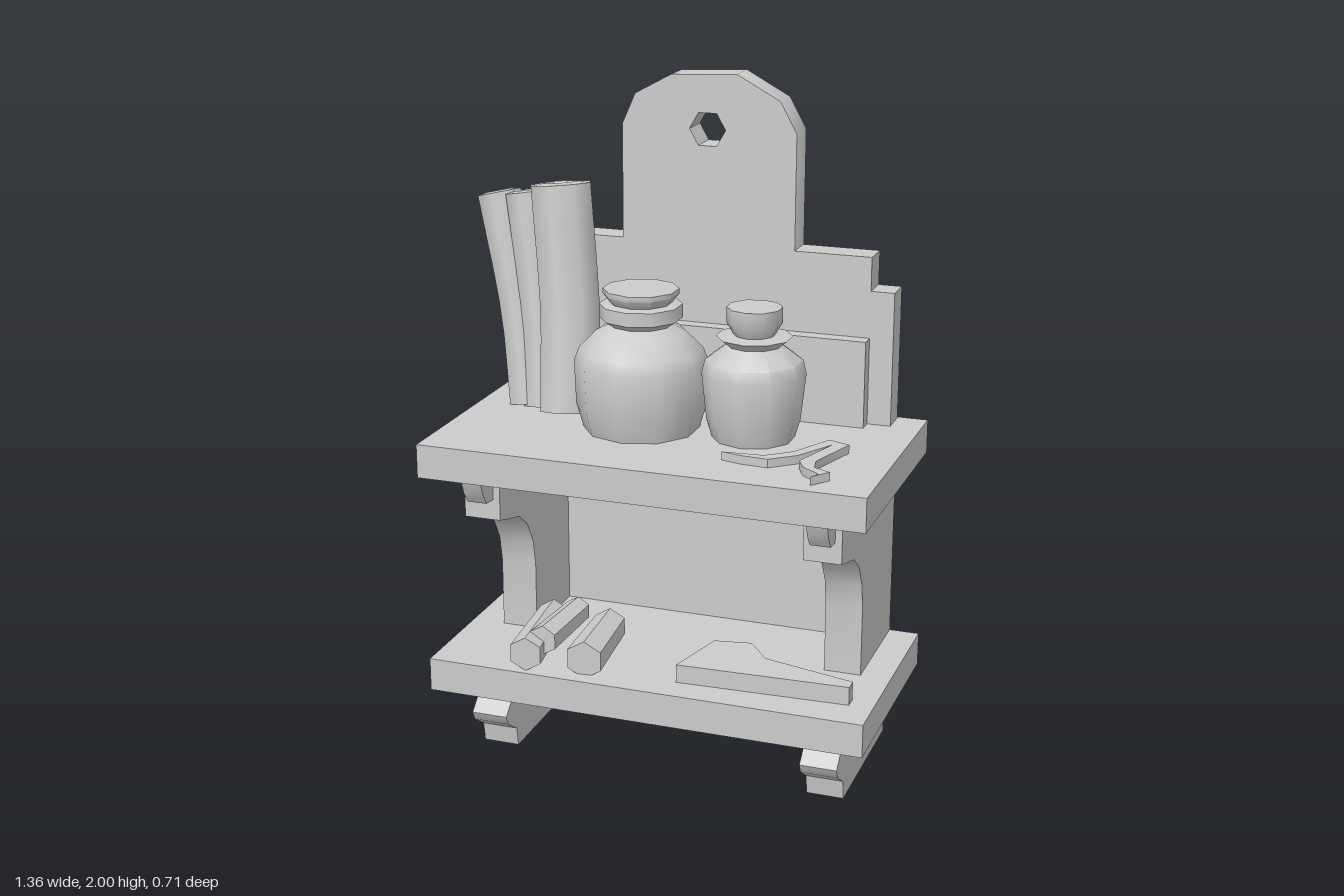
import * as THREE from 'three';
import { toCreasedNormals } from 'three/addons/utils/BufferGeometryUtils.js';

const material = new THREE.MeshStandardMaterial({ color: 0xcccccc, side: THREE.DoubleSide });

export function createModel() {
  const model = new THREE.Group();

  const add = (name, geometry, crease = 0.6) => {
    const mesh = new THREE.Mesh(toCreasedNormals(geometry, crease), material);
    mesh.name = name;
    model.add(mesh);
    return mesh;
  };
  // Box from its limits on each axis
  const box = (name, x0, x1, y0, y1, z0, z1) => add(name,
    new THREE.BoxGeometry(x1 - x0, y1 - y0, z1 - z0)
      .translate((x0 + x1) / 2, (y0 + y1) / 2, (z0 + z1) / 2));
  const outline = (points) => new THREE.Shape(points.map(([a, b]) => new THREE.Vector2(a, b)));
  const extrude = (shape, depth) => new THREE.ExtrudeGeometry(shape, { depth, bevelEnabled: false });
  // Profile in (z, y), as thick as x0..x1
  const sideSlab = (name, points, x0, x1) =>
    add(name, extrude(outline(points), x1 - x0).rotateY(-Math.PI / 2).translate(x1, 0, 0));
  // Plan in (x, z), standing from y0 to y1
  const planSlab = (name, points, y0, y1) =>
    add(name, extrude(outline(points), y1 - y0).rotateX(Math.PI / 2).translate(0, y1, 0));

  // Shelves
  box('upperShelf', -0.64, 0.68, 0.9, 1.0, -0.355, 0.355);
  box('lowerShelf', -0.64, 0.68, 0.22, 0.32, -0.345, 0.32);

  // Arched middle back board with a hanging hole
  const arch = outline([[-0.24, 0.32], [0.29, 0.32], [0.29, 1.84], [0.24, 1.93],
    [0.11, 2.0], [-0.09, 1.99], [-0.2, 1.93], [-0.24, 1.84]]);
  const hole = [];
  for (let i = 0; i < 6; i++) {
    const a = -i * Math.PI / 3;
    hole.push(new THREE.Vector2(0.022 + 0.055 * Math.cos(a), 1.837 + 0.055 * Math.sin(a)));
  }
  arch.holes.push(new THREE.Path(hole));
  add('archedBackBoard', extrude(arch, 0.095).translate(0, 0, -0.355));

  // Stepped boards beside it: x0, x1, top, back
  [[-0.45, -0.24, 1.5, -0.35], [-0.54, -0.45, 1.57, -0.34],
    [0.29, 0.52, 1.5, -0.35], [0.52, 0.59, 1.4, -0.345]].forEach(([x0, x1, top, back]) =>
    box('sideBackBoard', x0, x1, 0.32, top, back, -0.26));
  box('backRail', -0.43, 0.52, 1.0, 1.26, -0.26, -0.215);

  // Side panels, brackets and feet
  const panel = [[-0.34, 0.32], [0.005, 0.32], [0.005, 0.53], [0.02, 0.61], [0.06, 0.68],
    [0.12, 0.725], [0.2, 0.745], [0.255, 0.76], [0.255, 0.9], [-0.34, 0.9]];
  const bracket = [[0.2, 0.82], [0.3, 0.825], [0.325, 0.86], [0.34, 0.9], [0.2, 0.9]];
  const foot = [[-0.3, 0], [0.165, 0], [0.175, 0.06], [0.235, 0.1], [0.25, 0.13],
    [0.21, 0.165], [0.21, 0.22], [-0.3, 0.22]];
  for (const [x0, x1] of [[-0.54, -0.43], [0.48, 0.59]]) {
    sideSlab('sidePanel', panel, x0, x1);
    sideSlab('bracket', bracket, x0 + 0.03, x1 - 0.02);
    sideSlab('foot', foot, x0, x1);
  }

  // Stoppered jars
  const jar = (name, profile, x, z) => add(name, new THREE.LatheGeometry(
    profile.map(([r, y]) => new THREE.Vector2(r, y)), 10).translate(x, 1, z), 0.8);
  jar('largeJar', [[0, 0], [0.17, 0], [0.19, 0.07], [0.195, 0.2], [0.18, 0.24], [0.13, 0.29],
    [0.09, 0.31], [0.12, 0.33], [0.12, 0.37], [0.09, 0.375], [0.11, 0.4], [0.11, 0.415],
    [0, 0.415]], -0.095, -0.02);
  jar('smallJar', [[0, 0], [0.12, 0], [0.135, 0.05], [0.15, 0.19], [0.14, 0.23], [0.08, 0.275],
    [0.11, 0.3], [0.06, 0.305], [0.08, 0.34], [0.08, 0.385], [0, 0.385]], 0.24, -0.04);

  // Leaning rolls with sunken ends: path points and radius
  const roll = (path, radius) => {
    const curve = new THREE.CatmullRomCurve3(path.map((p) => new THREE.Vector3(...p)));
    add('leaningRoll', new THREE.TubeGeometry(curve, 6, radius, 8), 1);
    const top = path[path.length - 1];
    const end = add('rollEnd', new THREE.LatheGeometry([
      new THREE.Vector2(radius, 0), new THREE.Vector2(radius * 0.55, 0.005),
      new THREE.Vector2(radius * 0.3, -0.05), new THREE.Vector2(0, -0.05)], 8));
    end.position.set(...top);
    end.quaternion.setFromUnitVectors(new THREE.Vector3(0, 1, 0), curve.getTangent(1));
  };
  roll([[-0.49, 1.0, -0.13], [-0.53, 1.27, -0.17], [-0.615, 1.62, -0.21]], 0.07);
  roll([[-0.44, 1.0, -0.12], [-0.46, 1.27, -0.16], [-0.52, 1.63, -0.2]], 0.07);
  roll([[-0.35, 1.0, -0.09], [-0.365, 1.3, -0.14], [-0.405, 1.665, -0.18]], 0.095);

  // Small logs on the lower shelf: x, y, radius, front z, back z, turn
  [[-0.36, 0.37, 0.052, 0.3, -0.01, 0.12], [-0.3, 0.4, 0.045, 0.25, 0.0, -0.05],
    [-0.18, 0.365, 0.058, 0.27, 0.0, 0.08]].forEach(([x, y, r, z1, z0, turn]) => {
    const log = add('log', new THREE.CylinderGeometry(r, r * 0.9, z1 - z0, 6).rotateX(Math.PI / 2));
    log.position.set(x, y, (z0 + z1) / 2);
    log.rotation.y = turn;
  });

  // Wedge block on the lower shelf
  planSlab('wedgeBlock', [[0.1, 0.23], [0.15, 0.03], [0.26, 0.01], [0.33, 0.1],
    [0.61, 0.17], [0.61, 0.21]], 0.32, 0.375);

  // Crooked strip lying on the upper shelf
  planSlab('crookedStrip', [[0.22, 0.19], [0.34, 0.18], [0.41, 0.12], [0.475, -0.01],
    [0.54, 0.015], [0.49, 0.18], [0.5, 0.23], [0.55, 0.255], [0.51, 0.31], [0.525, 0.28],
    [0.47, 0.24], [0.445, 0.19], [0.495, 0.03], [0.43, 0.15], [0.36, 0.21], [0.28, 0.205]], 1.0, 1.025);

  return model;
}
